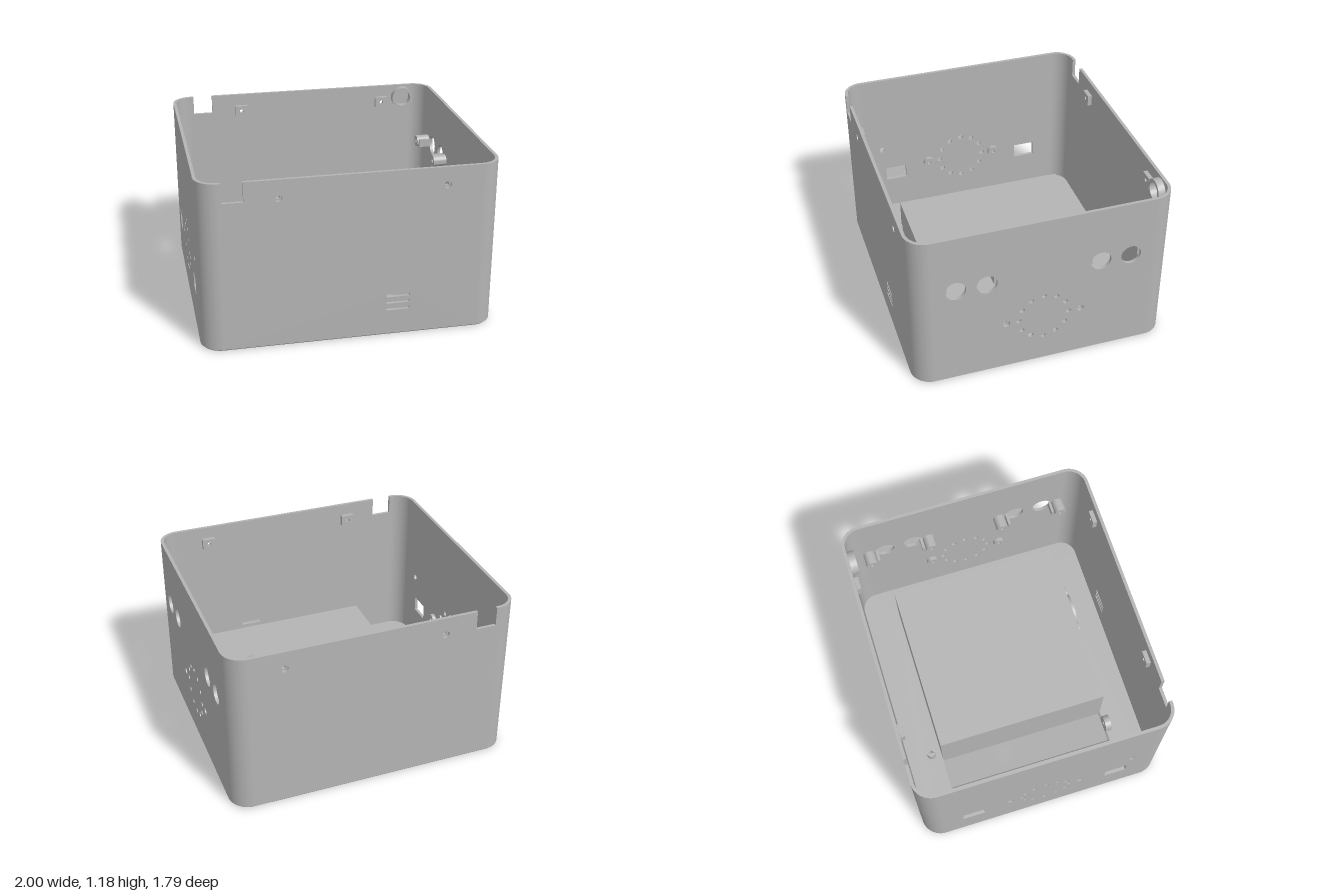
import * as THREE from 'three';
import { toCreasedNormals } from 'three/addons/utils/BufferGeometryUtils.js';

const W = 1, D = 0.895, H = 1.185, R = 0.14, T = 0.022, FLOOR = 0.035;
const grey = new THREE.MeshStandardMaterial({ color: 0xb4b4b4, side: THREE.DoubleSide });
grey.name = 'matte grey';

// outlines and holes
const poly = (pts, Kind = THREE.Path) => new Kind(pts.map(p => new THREE.Vector2(...p)));
const rect = (x0, y0, x1, y1, Kind) => poly([[x0, y0], [x1, y0], [x1, y1], [x0, y1]], Kind);
const circle = (x, y, r, Kind = THREE.Path) => {
  const c = new Kind();
  c.absarc(x, y, r, 0, Math.PI * 2, false);
  return c;
};
const slot = (x0, x1, y, r) => {
  const s = new THREE.Path();
  s.absarc(x1 - r, y, r, -Math.PI / 2, Math.PI / 2, false);
  s.absarc(x0 + r, y, r, Math.PI / 2, Math.PI * 1.5, false);
  s.closePath();
  return s;
};
const roundedRect = (w, d, r) => {
  const s = new THREE.Shape();
  s.absarc(w - r, d - r, r, 0, Math.PI / 2, false);
  s.absarc(-w + r, d - r, r, Math.PI / 2, Math.PI, false);
  s.absarc(-w + r, -d + r, r, Math.PI, Math.PI * 1.5, false);
  s.absarc(w - r, -d + r, r, Math.PI * 1.5, Math.PI * 2, false);
  s.closePath();
  return s;
};

export function createModel() {
  const model = new THREE.Group();
  model.name = 'enclosure';

  function plate(name, shape, depth, holes = [], options = {}) {
    shape.holes.push(...holes);
    const geo = new THREE.ExtrudeGeometry(shape, { depth, bevelEnabled: false, curveSegments: 14, ...options });
    const mesh = new THREE.Mesh(toCreasedNormals(geo, 0.6), grey);
    mesh.name = name;
    model.add(mesh);
    return mesh;
  }
  // hollow cylinder starting at a point and growing along +x, +y or +z
  function tube(name, axis, x, y, z, outer, inner, length) {
    const m = plate(name, circle(0, 0, outer, THREE.Shape), length, [circle(0, 0, inner)]);
    if (axis === 'x') m.rotation.y = Math.PI / 2;
    if (axis === 'y') m.rotation.x = -Math.PI / 2;
    m.position.set(x, y, z);
  }
  function box(name, x0, x1, y0, y1, z0, z1) {
    const m = new THREE.Mesh(new THREE.BoxGeometry(x1 - x0, y1 - y0, z1 - z0), grey);
    m.position.set((x0 + x1) / 2, (y0 + y1) / 2, (z0 + z1) / 2);
    m.name = name;
    model.add(m);
  }

  // floor with large opening, small hatch and a fine lower chamfer
  const c = 0.01;
  const floor = plate('floor', roundedRect(W, D, R), FLOOR - 2 * c,
    [rect(-0.695, -0.612, 0.768, 0.612), rect(0.8, -0.06, 0.88, 0.06)],
    { bevelEnabled: true, bevelThickness: c, bevelSize: c, bevelOffset: -c, bevelSegments: 1 });
  floor.rotation.x = -Math.PI / 2;
  floor.position.y = c;

  // front and back walls with cable notch and screw holes
  const screwX = [-0.48, 0.625], screwY = 1.06;
  for (const front of [true, false]) {
    const e = W - R;
    const outline = poly([[-e, c], [e, c], [e, H], [-0.7, H], [-0.7, 1.05], [-0.84, 1.05], [-0.84, H], [-e, H]], THREE.Shape);
    const holes = screwX.map(x => circle(x, screwY, 0.025));
    if (front) for (const y of [0.195, 0.245, 0.293]) holes.push(slot(0.235, 0.395, y, 0.011));
    plate(front ? 'frontWall' : 'backWall', outline, T, holes).position.z = front ? D - T : -D;
    // screw blocks behind the holes
    for (const x of screwX) {
      plate('screwBlock', rect(x - 0.047, screwY - 0.04, x + 0.047, screwY + 0.04, THREE.Shape), 0.03,
        [circle(x, screwY, 0.014)]).position.z = front ? D - T - 0.03 : -D + T;
    }
  }

  // side walls, drawn with u = -z
  for (const s of [1, -1]) {
    const e = D - R;
    const holes = [-0.26, 0.26].map(u => circle(u, 0.39, 0.025));
    for (let i = 0; i < 12; i++) {
      const a = i * Math.PI / 6;
      holes.push(circle(0.175 * Math.cos(a), 0.39 + 0.175 * Math.sin(a), 0.018));
    }
    if (s > 0) {
      for (const u of [-0.6, -0.39, 0.39, 0.6]) holes.push(circle(u, 0.765, 0.07));
    } else {
      for (const u of [-0.53, 0.53]) holes.push(rect(u - 0.08, 0.285, u + 0.08, 0.395));
      holes.push(circle(-0.63, 0.57, 0.022));
    }
    const wall = plate(s > 0 ? 'leftWall' : 'rightWall', rect(-e, c, e, H, THREE.Shape), T, holes);
    wall.rotation.y = Math.PI / 2;
    wall.position.x = s > 0 ? W - T : -W;
    // bosses beside the ring of vents
    for (const z of [-0.265, 0.265]) tube('ventBoss', 'x', s > 0 ? W - T - 0.028 : -W + T, 0.39, z, 0.042, 0.013, 0.028);
  }

  // rounded corners
  for (const sx of [1, -1]) for (const sz of [1, -1]) {
    const a = Math.atan2(-sz, sx) - Math.PI / 4;
    const arc = new THREE.Shape();
    arc.absarc(0, 0, R, a, a + Math.PI / 2, false);
    arc.absarc(0, 0, R - T, a + Math.PI / 2, a, true);
    arc.closePath();
    const corner = plate('wallCorner', arc, H - c);
    corner.rotation.x = -Math.PI / 2;
    corner.position.set(sx * (W - R), c, sz * (D - R));
  }

  // sensor mounts on the inside of the left wall
  for (const s of [1, -1]) {
    for (const z of [0.27, 0.72]) tube('sensorBoss', 'x', 0.88, 0.765, s * z, 0.043, 0.015, W - T - 0.88);
    for (const z of [0.328, 0.662]) box('sensorRib', 0.89, W - T, 0.735, 0.795, s * z - 0.009, s * z + 0.009);
  }

  // ring socket near the top of the back wall
  tube('ringSocket', 'z', 0.79, 1.09, -D + T, 0.082, 0.06, 0.05);

  // raised tray, open underneath
  const px0 = -0.47, px1 = 0.772, pz = 0.62, py = 0.42, pt = 0.016;
  box('trayTop', px0, px1, py - pt, py, -pz, pz);
  box('trayEndWall', px0, px0 + pt, 0.002, py - pt, -pz, pz);
  box('trayEndWall', px1 - pt, px1, 0.002, py - pt, -pz, pz);
  box('trayBackWall', px0, px1, 0.002, py - pt, -pz, -pz + pt);
  plate('trayFrontWall', rect(px0, 0.002, px1, py - pt, THREE.Shape), pt,
    [circle(0.315, 0.24, 0.095)]).position.z = pz - pt;

  // speaker socket and its screw bosses on the tray front
  tube('speakerSocket', 'z', 0.315, 0.24, pz, 0.12, 0.095, 0.033);
  for (const x of [0.163, 0.467]) tube('speakerBoss', 'z', x, 0.24, pz, 0.04, 0.013, 0.033);
  // bosses above the floor hatch
  for (const z of [-0.058, 0.052]) tube('hatchBoss', 'x', px1, 0.2, z, 0.034, 0.012, 0.03);

  // rounded lug at the edge of the floor opening
  const lug = new THREE.Shape();
  lug.moveTo(-0.055, 0);
  lug.lineTo(0.055, 0);
  lug.absarc(0, 0.06, 0.055, 0, Math.PI, false);
  lug.closePath();
  plate('floorLug', lug, 0.045, [circle(0, 0.06, 0.018)]).position.set(-0.575, 0.02, 0.613);

  // posts on the floor
  for (const x of [-0.82, -0.41]) tube('floorPost', 'y', x, FLOOR - 0.005, -0.692, 0.033, 0.015, 0.07);

  return model;
}
